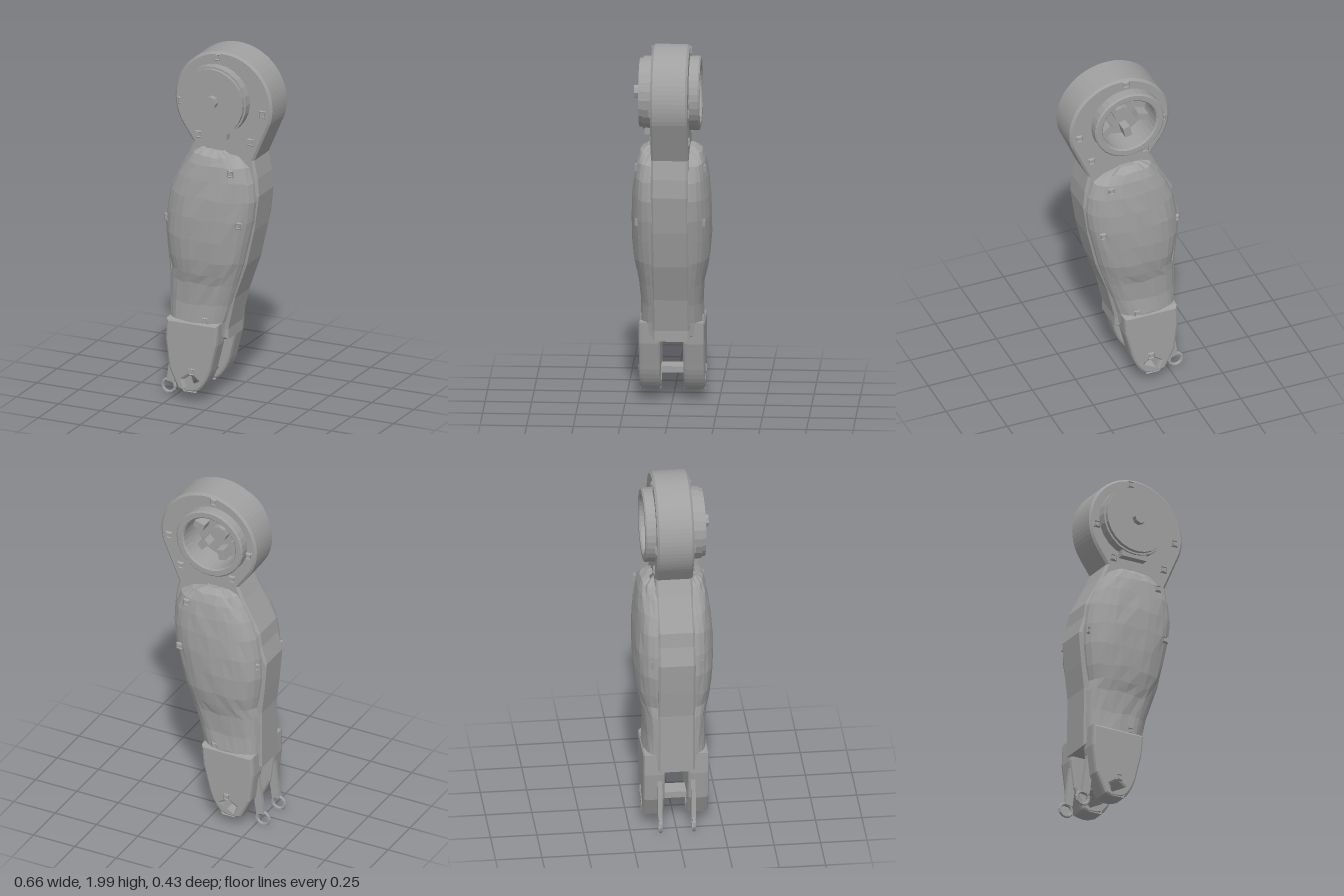
import * as THREE from 'three';

export function createModel() {
  const model = new THREE.Group();
  model.name = 'limbSegment';
  const grey = new THREE.MeshStandardMaterial({ color: 0xa0a0a0, flatShading: true });
  grey.name = 'worn grey metal';

  const add = (name, geometry, x = 0, y = 0, z = 0) => {
    const mesh = new THREE.Mesh(geometry, grey);
    mesh.name = name;
    mesh.position.set(x, y, z);
    model.add(mesh);
    return mesh;
  };
  const disc = (r, depth, sides, r2 = r) => new THREE.CylinderGeometry(r, r2, depth, sides).rotateX(Math.PI / 2);
  const circleHole = (x, y, r) => new THREE.Path().absarc(x, y, r, 0, Math.PI * 2, true);
  let seed = 7;
  const noise = () => (seed = (seed * 16807) % 2147483647) / 2147483647 - 0.5;

  const HUB_Y = 1.725;

  // Core plate: round head running down into a tapering spine
  const core = new THREE.Shape();
  core.moveTo(0.06, 0.36);
  [[0.06, 0.42], [0.1, 0.6], [0.17, 0.8], [0.215, 1.0], [0.243, 1.2], [0.235, 1.3], [0.215, 1.4]].forEach(p => core.lineTo(...p));
  core.absarc(0.035, 1.705, 0.288, -0.3, Math.PI + 0.62, false);
  [[-0.145, 1.46], [-0.18, 1.38], [-0.275, 1.2], [-0.285, 1.12], [-0.315, 1.02], [-0.3, 0.85],
    [-0.283, 0.7], [-0.285, 0.36]].forEach(p => core.lineTo(...p));
  core.closePath();
  core.holes.push(circleHole(0, HUB_Y, 0.155));
  add('corePlate', new THREE.ExtrudeGeometry(core, {
    depth: 0.176, bevelThickness: 0.012, bevelSize: 0.012, bevelOffset: -0.012, bevelSegments: 1, curveSegments: 24
  }), 0, 0, -0.088);

  // Front joint disc with a small hub
  add('jointDisc', disc(0.185, 0.17, 24), 0, HUB_Y, 0.085);
  add('jointDiscRim', disc(0.195, 0.05, 24), 0, HUB_Y, 0.125);
  add('jointHub', disc(0.035, 0.04, 8), 0.005, HUB_Y + 0.005, 0.18);
  add('discGusset', new THREE.BoxGeometry(0.15, 0.05, 0.05), 0, 1.535, 0.115);

  // Open collar on the rear with lugs in its recess
  const ring = new THREE.Shape().absarc(0, 0, 0.2, 0, Math.PI * 2, false);
  ring.holes.push(circleHole(0, 0, 0.155));
  add('rearCollar', new THREE.ExtrudeGeometry(ring, {
    depth: 0.07, bevelThickness: 0.008, bevelSize: 0.008, bevelOffset: -0.008, bevelSegments: 1, curveSegments: 16
  }), 0, HUB_Y, -0.15);
  for (let i = 0; i < 6; i++) {
    const a = i * Math.PI / 3 + 0.3;
    const lug = add('recessLug', new THREE.BoxGeometry(0.06, 0.04, 0.07), Math.cos(a) * 0.115, HUB_Y + Math.sin(a) * 0.115, -0.03);
    lug.rotation.z = a;
  }
  add('recessHub', disc(0.045, 0.05, 8), 0, HUB_Y, -0.02);

  // Bulging armour shells: rows of [y, left x, right x, depth]
  const rows = [
    [1.435, -0.09, 0.05, 0.13], [1.41, -0.145, 0.13, 0.168], [1.36, -0.185, 0.195, 0.186], [1.28, -0.232, 0.225, 0.2],
    [1.18, -0.27, 0.235, 0.21], [1.06, -0.29, 0.222, 0.215], [0.94, -0.295, 0.195, 0.213], [0.82, -0.28, 0.165, 0.204],
    [0.74, -0.265, 0.14, 0.19], [0.68, -0.276, 0.122, 0.175], [0.56, -0.278, 0.085, 0.166], [0.46, -0.278, 0.055, 0.17],
    [0.38, -0.275, 0.045, 0.165]
  ];
  const shell = side => {
    const n = 14, pos = [], idx = [];
    const tri = (a, b, c) => side > 0 ? idx.push(a, b, c) : idx.push(a, c, b);
    rows.forEach(([y, xl, xr, d], r) => {
      for (let i = 0; i <= n; i++) {
        const a = i / n * Math.PI, c = Math.cos(a);
        const x = (xl + xr) / 2 + (xr - xl) / 2 * Math.sign(c) * Math.abs(c) ** 0.85;
        const z = 0.06 + (d - 0.06) * Math.max(Math.sin(a), 0) ** 0.65;
        pos.push(x, y + noise() * 0.015, side * (z + noise() * 0.006));
        if (r && i) {
          const k = r * (n + 1) + i;
          tri(k, k - n - 1, k - n - 2);
          tri(k, k - n - 2, k - 1);
        }
      }
    });
    const last = (rows.length - 1) * (n + 1);
    for (let i = 1; i < n; i++) {
      tri(0, i + 1, i);
      tri(last, last + i, last + i + 1);
    }
    // Make the winding face outwards
    for (let i = 0; i < idx.length; i += 3) {
      const [a, b, c] = [0, 1, 2].map(j => new THREE.Vector3().fromArray(pos, idx[i + j] * 3));
      const normal = b.clone().sub(a).cross(c.clone().sub(a));
      const out = a.clone().add(b).add(c).divideScalar(3).sub(new THREE.Vector3(-0.04, 0.9, 0));
      out.y *= 0.15;
      if (normal.dot(out) < 0) [idx[i + 1], idx[i + 2]] = [idx[i + 2], idx[i + 1]];
    }
    const g = new THREE.BufferGeometry();
    g.setAttribute('position', new THREE.Float32BufferAttribute(pos, 3));
    g.setIndex(idx);
    g.computeVertexNormals();
    return g;
  };

  // Lower fork cheek with a pin hole
  const cheek = new THREE.Shape();
  cheek.moveTo(-0.2, 0.065);
  cheek.quadraticCurveTo(-0.13, 0.04, -0.075, 0.07);
  cheek.quadraticCurveTo(-0.02, 0.12, 0.0, 0.22);
  [[0.03, 0.34], [0.04, 0.46], [-0.27, 0.46], [-0.275, 0.34], [-0.255, 0.18]].forEach(p => cheek.lineTo(...p));
  cheek.closePath();
  const pinHole = new THREE.Path();
  for (let i = 0; i < 5; i++) {
    const a = Math.PI / 2 - i * Math.PI * 0.4, p = [-0.125 + Math.cos(a) * 0.045, 0.11 + Math.sin(a) * 0.045];
    i ? pinHole.lineTo(...p) : pinHole.moveTo(...p);
  }
  pinHole.closePath();
  cheek.holes.push(pinHole);

  for (const side of [1, -1]) {
    const end = side > 0 ? 'front' : 'rear';
    add(end + 'Shell', shell(side));
    add(end + 'Cheek', new THREE.ExtrudeGeometry(cheek, {
      depth: 0.07, bevelThickness: 0.022, bevelSize: 0.014, bevelOffset: -0.014, bevelSegments: 2, curveSegments: 6
    }), 0, 0, side * 0.119 - 0.035);

    // Link rod ending in an eyelet
    const rod = add(end + 'Rod', new THREE.BoxGeometry(0.045, 0.3, 0.024), -0.258, 0.222, side * 0.09);
    rod.rotation.z = -0.14;
    add(end + 'Eyelet', new THREE.TorusGeometry(0.037, 0.009, 6, 12), -0.292, 0.046, side * 0.09);
  }
  add('forkCrossbar', new THREE.BoxGeometry(0.1, 0.035, 0.2), -0.14, 0.168, 0);

  // Square bolts on the plate and shells: [x, y, surface z]
  [[0, 1.96, 0.1], [-0.212, 1.68, 0.1], [0.27, 1.675, 0.1], [-0.11, 1.505, 0.1], [0.2, 1.505, 0.1], [0.12, 1.34, 0.183],
    [-0.275, 1.02, 0.135], [0.165, 1.05, 0.18], [-0.04, 0.47, 0.163], [-0.115, 0.175, 0.174]].forEach(([x, y, z]) => {
    for (const side of [1, -1]) {
      const bolt = add('bolt', new THREE.TorusGeometry(0.021, 0.008, 4, 4), x, y, side * z);
      bolt.rotation.z = Math.PI / 4;
      add('boltCore', new THREE.BoxGeometry(0.02, 0.02, 0.012), x, y, side * z);
    }
  });

  return model;
}
